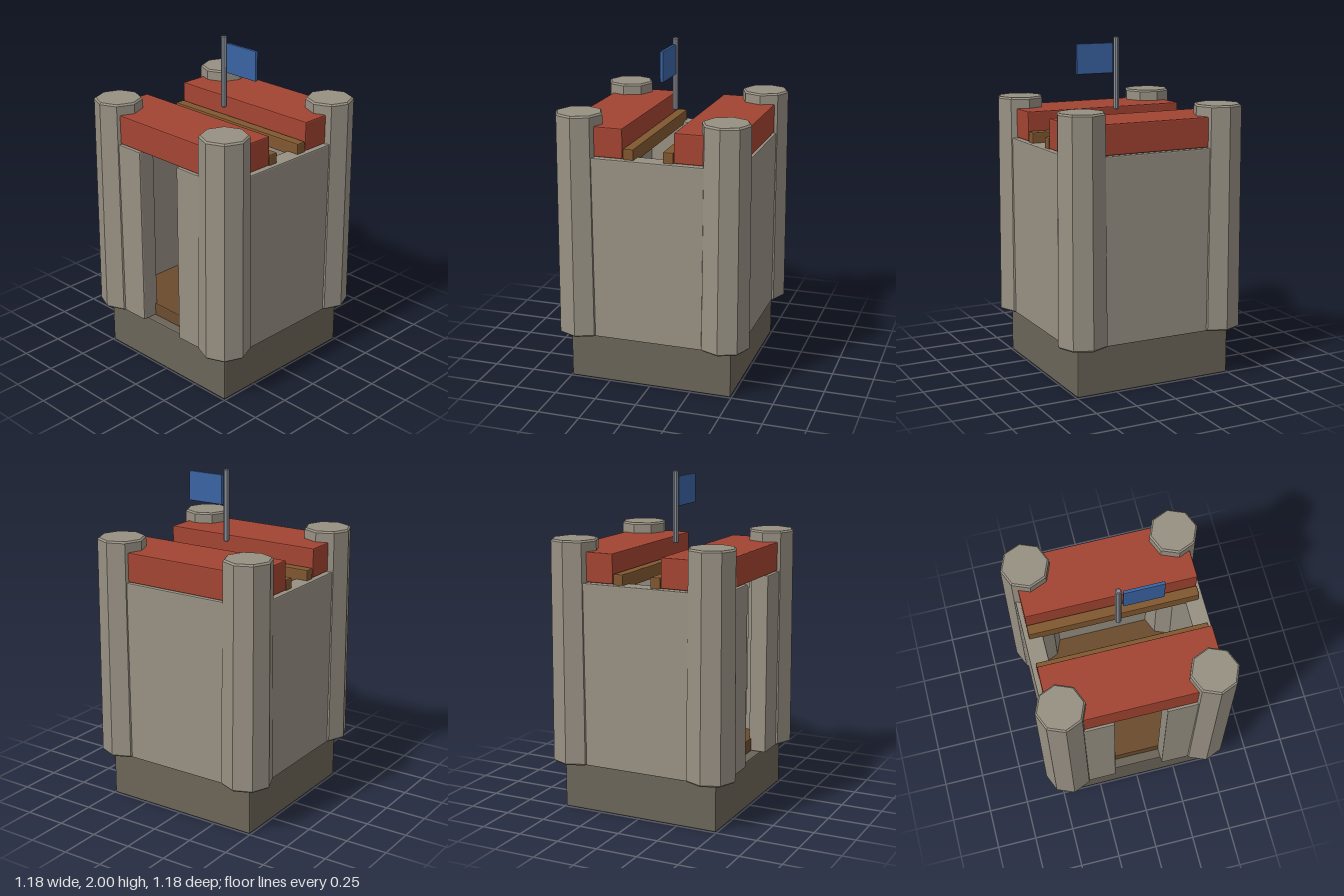
import * as THREE from 'three';
import { RoundedBoxGeometry } from 'three/addons/geometries/RoundedBoxGeometry.js';

const mat = (color) => new THREE.MeshStandardMaterial({ color, flatShading: true });

export function createModel() {
  const model = new THREE.Group();
  model.name = 'gatehouse';
  const stone = mat(0x979083), baseStone = mat(0x6b6558), tile = mat(0xa34432);
  const wood = mat(0x805730), planks = mat(0x6b4c2e), cloth = mat(0x3a64a4), metal = mat(0x898d96);

  const add = (name, geometry, material, x = 0, y = 0, z = 0) => {
    const mesh = new THREE.Mesh(geometry, material);
    mesh.name = name;
    mesh.position.set(x, y, z);
    model.add(mesh);
  };

  // Box given by its min and max corners, with a fine chamfer
  const block = (name, material, [x0, y0, z0], [x1, y1, z1], bevel = 0.007) =>
    add(name, new RoundedBoxGeometry(x1 - x0, y1 - y0, z1 - z0, 1, bevel), material,
      (x0 + x1) / 2, (y0 + y1) / 2, (z0 + z1) / 2);

  // Eight-sided post with chamfered ends, standing on y = 0
  const post = (rBottom, rTop, height, bevel) => new THREE.LatheGeometry([
    [0, 0], [rBottom - bevel, 0], [rBottom, bevel],
    [rTop, height - bevel], [rTop - bevel, height], [0, height],
  ].map(([r, y]) => new THREE.Vector2(r, y)), 8);

  // Foundation and floor
  block('foundation', baseStone, [-0.495, 0, -0.495], [0.495, 0.289, 0.495], 0.009);
  block('floor', planks, [-0.435, 0.289, -0.44], [0.435, 0.372, 0.44]);

  // Walls: closed back and sides, doorway in the front
  block('backWall', stone, [-0.53, 0.292, -0.533], [0.53, 1.387, -0.425]);
  for (const s of [-1, 1]) {
    const side = s < 0 ? 'right' : 'left';
    const span = (a, b) => [Math.min(s * a, s * b), Math.max(s * a, s * b)];
    const [w0, w1] = span(0.425, 0.533);
    block(side + 'Wall', stone, [w0, 0.292, -0.45], [w1, 1.387, 0.45]);
    const [f0, f1] = span(0.153, 0.53);
    block(side + 'FrontWall', stone, [f0, 0.292, 0.425], [f1, 1.387, 0.533]);

    // Corner towers
    for (const t of [-1, 1]) {
      add(side + (t < 0 ? 'BackTower' : 'FrontTower'), post(0.151, 0.142, 1.338, 0.01), stone,
        s * 0.437, 0.292, t * 0.437);
    }

    // Roof slabs at front and back, each with a beam along its inner edge
    const end = s < 0 ? 'back' : 'front';
    const [r0, r1] = span(0.152, 0.52);
    block(end + 'Roof', tile, [-0.506, 1.389, r0], [0.506, 1.565, r1]);
    const [b0, b1] = span(0.086, 0.149);
    block(end + 'Beam', wood, [-0.506, 1.368, b0], [0.506, 1.45, b1]);
  }

  // Flag
  add('flagPole', post(0.018, 0.018, 0.43, 0.006), metal, 0, 1.57, 0);
  block('flag', cloth, [0.026, 1.787, -0.01], [0.26, 1.965, 0.01], 0.005);

  return model;
}
